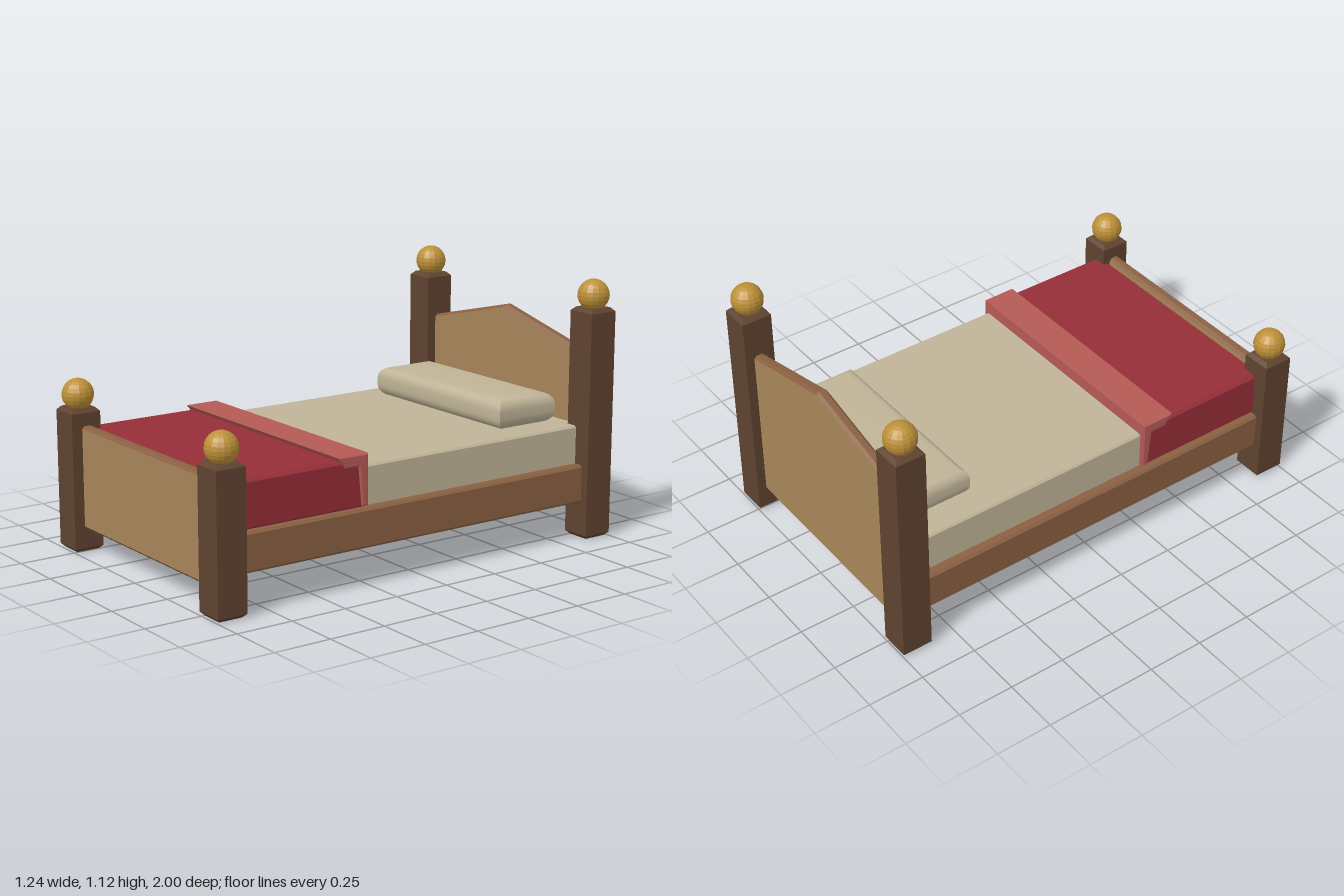
import * as THREE from 'three';
import { toCreasedNormals } from 'three/addons/utils/BufferGeometryUtils.js';

const paint = (name, color, flatShading = false) => {
  const m = new THREE.MeshStandardMaterial({ color, flatShading });
  m.name = name;
  return m;
};

// Polygon extruded along z, centred on z = 0, with bevels kept inside the outline.
function slab(points, depth, bevel, segments = 1) {
  const shape = new THREE.Shape(points.map(([x, y]) => new THREE.Vector2(x, y)));
  const g = new THREE.ExtrudeGeometry(shape, {
    depth: depth - 2 * bevel, bevelEnabled: true, bevelThickness: bevel,
    bevelSize: bevel, bevelOffset: -bevel, bevelSegments: segments,
  });
  return g.translate(0, 0, bevel - depth / 2);
}

const rect = (w, h) => [[-w / 2, -h / 2], [w / 2, -h / 2], [w / 2, h / 2], [-w / 2, h / 2]];

// Block standing along y with its ends bevelled.
const block = (w, h, d, bevel, segments) => slab(rect(w, d), h, bevel, segments).rotateX(-Math.PI / 2);

export function createModel() {
  const bed = new THREE.Group();
  bed.name = 'bed';
  const postWood = paint('dark post wood', 0x5f4330);
  const railWood = paint('rail wood', 0x8a6041);
  const panelWood = paint('panel wood', 0xa8865a);
  const brass = paint('brass', 0xbd9038, true);
  const linen = paint('linen', 0xc0b497);
  const red = paint('red blanket', 0x962e39);
  const pink = paint('blanket lining', 0xb55a56);

  const add = (name, geometry, material, x, y, z) => {
    const mesh = new THREE.Mesh(geometry, material);
    mesh.name = name;
    mesh.position.set(x, y, z);
    bed.add(mesh);
    return mesh;
  };

  // Corner posts with ball finials, and side rails
  for (const [side, sx] of [['left', 1], ['right', -1]]) {
    for (const [end, z, h] of [['Front', 0.933, 0.615], ['Back', -0.933, 1.0]]) {
      add(side + end + 'Post', block(0.132, h, 0.134, 0.016), postWood, sx * 0.553, h / 2, z);
      add(side + end + 'Finial', new THREE.SphereGeometry(0.068, 16, 12), brass, sx * 0.553, h + 0.052, z);
    }
    const rail = slab(rect(1.78, 0.165), 0.056, 0.01).rotateY(Math.PI / 2);
    add(side + 'Rail', rail, railWood, sx * 0.555, 0.2425, 0);
  }

  // Panels: tan faces with a darker bevelled edge
  const head = [[-0.52, 0.1], [0.52, 0.1], [0.52, 0.803], [0, 0.93], [-0.52, 0.803]];
  const foot = [[-0.52, 0.1], [0.52, 0.1], [0.52, 0.543], [-0.52, 0.543]];
  add('headboard', slab(head, 0.05, 0.012), [panelWood, railWood], 0, 0, -0.935);
  add('footboard', slab(foot, 0.05, 0.012), [panelWood, railWood], 0, 0, 0.928);

  // Mattress and pillow
  add('mattress', block(1.08, 0.29, 1.81, 0.008), linen, 0, 0.345, 0);
  const pillow = toCreasedNormals(block(0.86, 0.132, 0.305, 0.05, 6), 0.6);
  add('pillow', pillow, linen, 0, 0.554, -0.688);

  // Blanket over the foot end
  add('blanket', block(1.108, 0.205, 0.635, 0.012), red, 0, 0.4225, 0.5825);

  // Turned-back fold: an L-shaped strip running across the bed
  const fold = [[-0.25, 0.33], [-0.25, 0.545], [-0.4, 0.545], [-0.362, 0.495], [-0.295, 0.495], [-0.28, 0.33]];
  add('blanketFold', slab(fold.reverse(), 1.124, 0.006).rotateY(Math.PI / 2), pink, 0, 0, 0);

  return bed;
}
